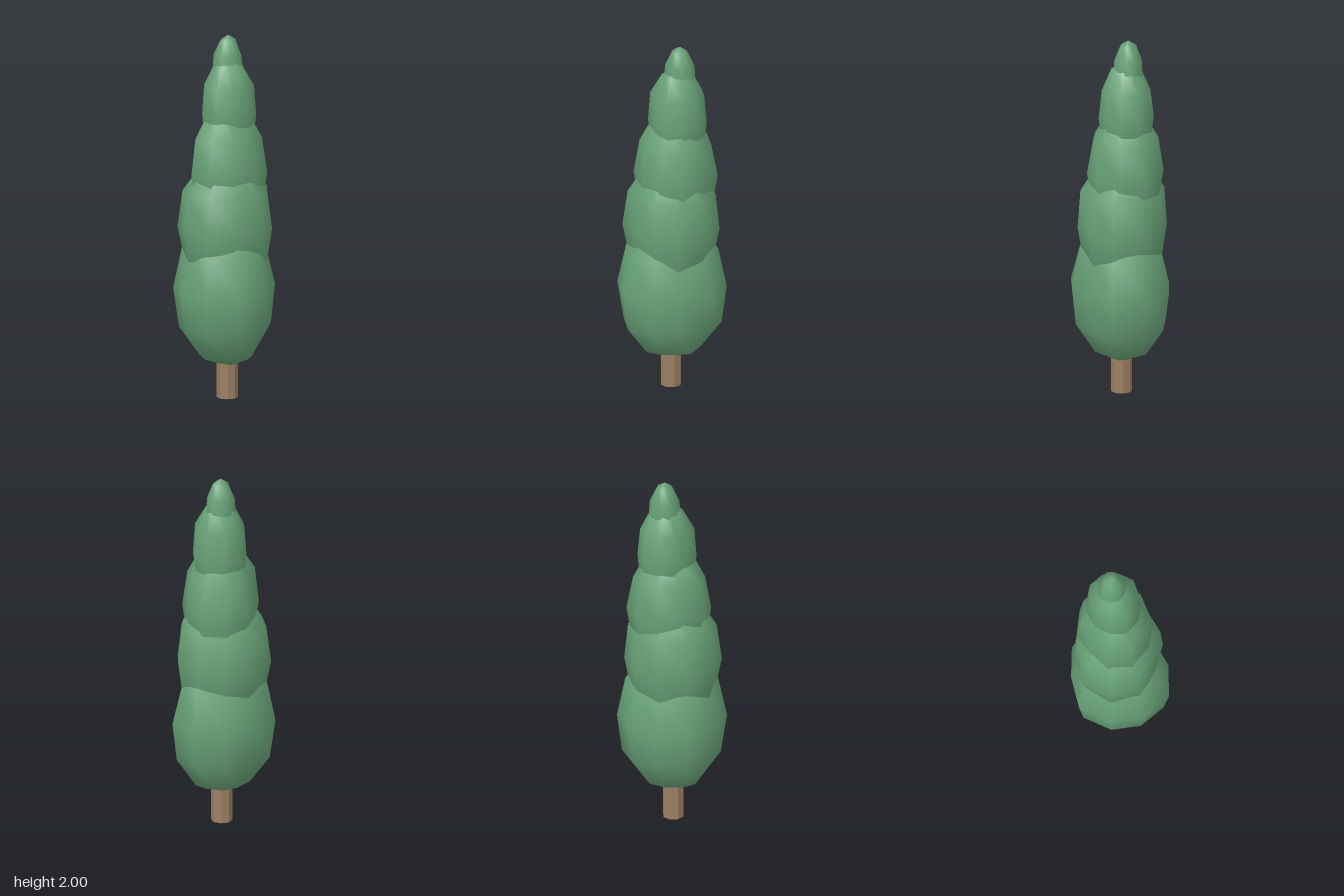
import * as THREE from 'three';
import { mergeVertices } from 'three/addons/utils/BufferGeometryUtils.js';

// Foliage tiers: centre, half height, ring widening above and below the
// middle, and ten radii around the middle ring, starting at the left-front.
const TIERS = [
  { c: [0, 0.6, 0], h: 0.43, up: 0.95, low: 1.04,
    r: [0.295, 0.302, 0.265, 0.235, 0.285, 0.302, 0.297, 0.268, 0.306, 0.297] },
  { c: [0, 0.94, 0], h: 0.41, up: 1.06, low: 1,
    r: [0.267, 0.222, 0.235, 0.235, 0.25, 0.263, 0.262, 0.255, 0.282, 0.274] },
  { c: [0.012, 1.25, -0.025], h: 0.38, up: 1, low: 1,
    r: [0.228, 0.208, 0.21, 0.218, 0.21, 0.232, 0.22, 0.21, 0.19, 0.222] },
  { c: [0.022, 1.56, -0.027], h: 0.32, up: 1.04, low: 1,
    r: [0.159, 0.146, 0.15, 0.153, 0.16, 0.162, 0.165, 0.153, 0.143, 0.15] },
  { c: [0.032, 1.78, -0.037], h: 0.22, up: 1.03, low: 1,
    r: [0.088, 0.08, 0.082, 0.083, 0.086, 0.089, 0.087, 0.083, 0.087, 0.087] },
];

// Coarse ball with an uneven outline and smooth normals
function tierGeometry({ h, up, low, r }, seed) {
  let geo = new THREE.SphereGeometry(1, 10, 6, Math.PI / 10);
  geo.deleteAttribute('normal');
  geo.deleteAttribute('uv');
  geo = mergeVertices(geo, 1e-4);
  const p = geo.attributes.position;
  for (let i = 0; i < p.count; i++) {
    const x = p.getX(i), y = p.getY(i), z = p.getZ(i);
    const angle = Math.atan2(z, -x) * 180 / Math.PI;
    const k = (Math.round((angle - 18) / 36) + 10) % 10;
    const off = Math.abs(y) > 0.01 && Math.abs(y) < 0.99;
    // Slight unevenness away from the middle ring
    const wobble = off ? 0.03 * Math.sin(k * 2.3 + y * 5 + seed * 1.7) : 0;
    const s = r[k] * (y > 0.01 ? up : y < -0.01 ? low : 1) * (1 + wobble);
    p.setXYZ(i, x * s, y * h + wobble * h * 0.5, z * s);
  }
  geo.computeVertexNormals();
  return geo;
}

export function createModel() {
  const tree = new THREE.Group();
  tree.name = 'tree';
  const leafGreen = new THREE.MeshStandardMaterial({ color: 0x68a277 });
  leafGreen.name = 'leaf green';
  const barkBrown = new THREE.MeshStandardMaterial({ color: 0x9c7f63 });
  barkBrown.name = 'bark brown';

  // Faceted trunk, running up into the lowest tier
  const trunkGeo = new THREE.CylinderGeometry(0.058, 0.058, 0.4, 8).toNonIndexed();
  trunkGeo.computeVertexNormals();
  const trunk = new THREE.Mesh(trunkGeo, barkBrown);
  trunk.name = 'trunk';
  trunk.position.set(-0.006, 0.2, -0.007);
  tree.add(trunk);

  // Stacked foliage
  TIERS.forEach((tier, i) => {
    const mesh = new THREE.Mesh(tierGeometry(tier, i), leafGreen);
    mesh.name = `foliageTier${i + 1}`;
    mesh.position.set(...tier.c);
    tree.add(mesh);
  });
  return tree;
}
